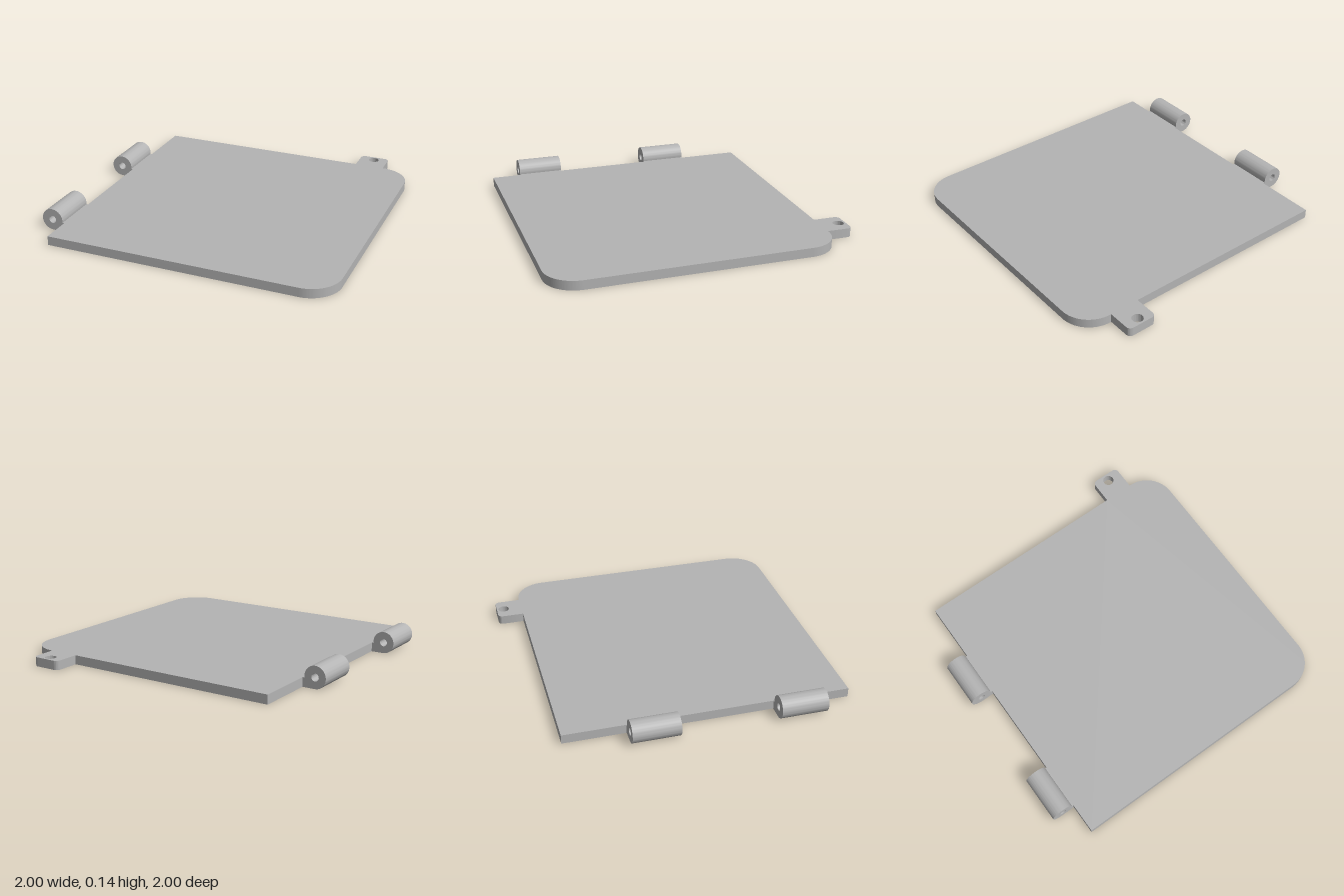
import * as THREE from 'three';
import { toCreasedNormals } from 'three/addons/utils/BufferGeometryUtils.js';

const THICK = 0.06;

// Extrude a shape, keeping arcs smooth and corners sharp
function extrude(shape, depth) {
  const geo = new THREE.ExtrudeGeometry(shape, { depth, bevelEnabled: false, curveSegments: 24 });
  return toCreasedNormals(geo, 0.5);
}

function roundHole(x, y, r) {
  return new THREE.Path().absarc(x, y, r, 0, Math.PI * 2, true);
}

// Door outline with latch tab, drawn in plan (shape y = -z)
function plateShape() {
  const s = new THREE.Shape();
  const left = -0.845, back = 0.83, r = 0.2, t = 0.03;
  s.moveTo(left, -1);
  s.lineTo(1 - r, -1);
  s.absarc(1 - r, -1 + r, r, -Math.PI / 2, 0);
  s.lineTo(1, back - r);
  s.absarc(1 - r, back - r, r, 0, Math.PI / 2);
  s.lineTo(0.793, back);
  s.lineTo(0.793, 1 - t);
  s.absarc(0.793 - t, 1 - t, t, 0, Math.PI / 2);
  s.lineTo(0.595 + t, 1);
  s.absarc(0.595 + t, 1 - t, t, Math.PI / 2, Math.PI);
  s.lineTo(0.595, back);
  s.lineTo(left, back);
  s.closePath();
  s.holes.push(roundHole(0.694, 0.952, 0.036));
  return s;
}

// Hinge knuckle: round barrel with a foot joining the plate edge
function knuckleShape() {
  const cx = -0.928, r = 0.072;
  const s = new THREE.Shape();
  s.moveTo(cx, 0);
  s.lineTo(-0.845, 0);
  s.lineTo(-0.845, THICK);
  s.absarc(cx, r, r, Math.asin((THICK - r) / r), Math.PI * 1.5);
  s.holes.push(roundHole(cx, r, 0.025));
  return s;
}

export function createModel() {
  const group = new THREE.Group();
  group.name = 'hingedCover';
  const grey = new THREE.MeshStandardMaterial({ color: 0xb4b4b4 });
  grey.name = 'grey';

  const plate = new THREE.Mesh(extrude(plateShape(), THICK).rotateX(-Math.PI / 2), grey);
  plate.name = 'coverPlate';
  group.add(plate);

  // Two knuckles along the hinge edge
  const knuckleGeo = extrude(knuckleShape(), 0.302);
  [['backHingeKnuckle', -0.432], ['frontHingeKnuckle', 0.502]].forEach(([name, z]) => {
    const knuckle = new THREE.Mesh(knuckleGeo, grey);
    knuckle.name = name;
    knuckle.position.z = z;
    group.add(knuckle);
  });
  return group;
}
